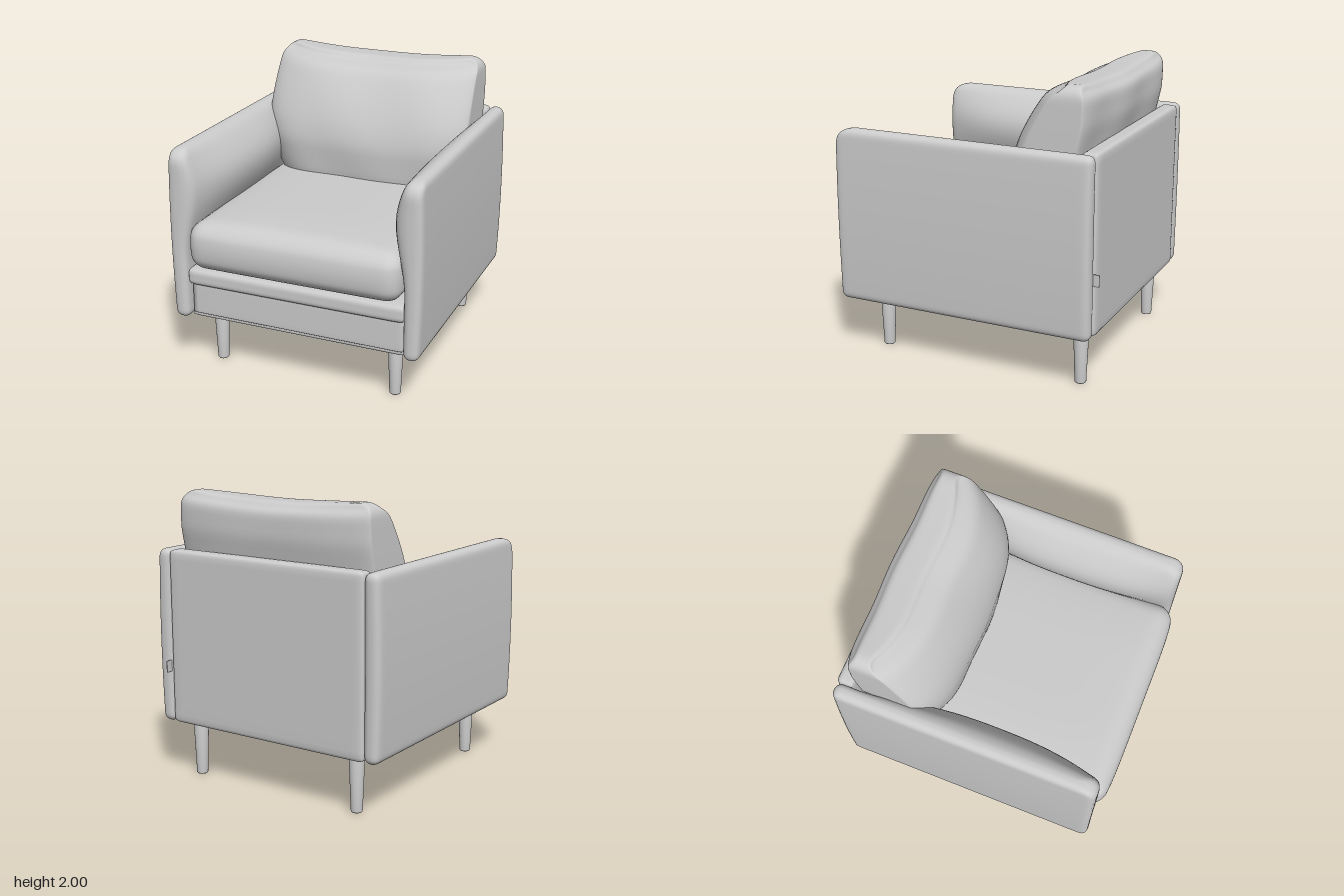
import * as THREE from 'three';
import { mergeVertices } from 'three/addons/utils/BufferGeometryUtils.js';

const { clamp, lerp } = THREE.MathUtils;
const material = new THREE.MeshStandardMaterial({ color: 0xcccccc, roughness: 0.9 });

// Rounded block between two corners, with vertices dense at its edges; bend(p) reshapes it.
function softBlock(name, min, max, r, n, bend) {
  const lo = new THREE.Vector3(...min), hi = new THREE.Vector3(...max);
  const half = hi.clone().sub(lo).multiplyScalar(0.5);
  const centre = hi.clone().add(lo).multiplyScalar(0.5);
  let geo = new THREE.BoxGeometry(2, 2, 2, n, n, n);
  const pos = geo.attributes.position;
  const p = new THREE.Vector3(), core = new THREE.Vector3();
  for (let i = 0; i < pos.count; i++) {
    p.fromBufferAttribute(pos, i);
    for (const a of ['x', 'y', 'z']) {
      p[a] = Math.sin(p[a] * Math.PI / 2) * half[a];
      core[a] = clamp(p[a], r - half[a], half[a] - r);
    }
    p.sub(core).setLength(r).add(core).add(centre);
    if (bend) bend(p);
    pos.setXYZ(i, p.x, p.y, p.z);
  }
  geo.deleteAttribute('normal');
  geo.deleteAttribute('uv');
  geo = mergeVertices(geo, 1e-5);
  geo.computeVertexNormals();
  const mesh = new THREE.Mesh(geo, material);
  mesh.name = name;
  return mesh;
}

// Side panel with a padded inner face and a rounded top front corner
function arm(side) {
  const ends = [side * 0.78, side * 0.89];
  return softBlock(side > 0 ? 'leftArm' : 'rightArm',
    [Math.min(...ends), 0.385, -0.935], [Math.max(...ends), 1.605, 0.92], 0.05, 36, p => {
      const x = p.x * side;
      const inner = clamp((0.87 - x) / 0.09, 0, 1);
      const along = Math.max(0, 1 - Math.pow(Math.abs(p.z - 0.15) / 0.9, 2.5));
      const up = p.y > 1.32
        ? Math.sin(clamp((1.605 - p.y) / 0.285, 0, 1) * Math.PI / 2)
        : 0.5 + 0.5 * Math.cos(clamp((1.32 - p.y) / 0.5, 0, 1) * Math.PI);
      const crown = 0.014 * (1 - inner) * (1 - Math.pow((p.y - 1) / 0.61, 2));
      p.x = side * (x - 0.16 * inner * along * up + crown);
      const h = clamp((p.y - 1.495) / 0.11, 0, 1);
      if (p.z > 0) p.z *= (0.81 + 0.11 * Math.sqrt(1 - h * h)) / 0.92;
    });
}

// Plump seat pad, crowned on top and bulging at the front
function seatCushion() {
  return softBlock('seatCushion', [-0.745, 0.765, -0.72], [0.745, 1.12, 0.93], 0.1, 32, p => {
    const u = p.x / 0.745, v = (p.y - 0.94) / 0.18, w = (p.z - 0.1) / 0.83;
    const side = 1 - u ** 4, belly = 1 - v * v;
    p.x *= 1 + 0.025 * belly;
    if (w > 0) p.z += 0.045 * w * belly * (1 - 0.6 * u ** 6);
    if (v > 0) p.y += v * (0.025 * side * (1 - Math.abs(w) ** 5) - 0.015 * Math.abs(u) ** 3);
  });
}

// Leaning back pad: thin at the top and sides, with a slight dip in its top edge
function backCushion() {
  return softBlock('backCushion', [-0.76, 1.08, -1], [0.76, 2.01, 1], 0.1, 32, p => {
    const u = p.x / 0.76, t = clamp((p.y - 1.08) / 0.93, 0, 1);
    const lean = Math.pow(Math.max(0, (p.y - 1.35) / 0.65), 1.6);
    // round the long top edges, which the depth remap stretches
    const cap = Math.pow(clamp((p.y - 1.88) / 0.13, 0, 1), 2);
    const front = -0.2 - 0.3 * lean - 0.14 * u ** 4 - 0.06 * cap - 0.04 * (1 - t) ** 3;
    const back = lerp(-0.74, -0.865, Math.min(1, t * 1.4)) + 0.04 * u ** 4 + 0.04 * cap;
    const w = p.z;
    p.z = lerp(back, front, (w + 1) / 2);
    p.y -= t ** 3 * (0.035 * (1 - u * u) + 0.05 * Math.abs(w) ** 6 * cap);
    p.x *= lerp(0.88, 1, Math.min(1, t * 2)) + 0.012 * Math.sin(t * Math.PI);
    p.z += 0.006 * Math.sin(7 * u + 5 * t);
  });
}

// Round tapered leg with a small bevel at the foot
function leg(x, z) {
  const profile = [[0, 0], [0.034, 0], [0.039, 0.007], [0.055, 0.43], [0, 0.43]]
    .map(([r, y]) => new THREE.Vector2(r, y));
  const geo = new THREE.LatheGeometry(profile, 28);
  const mesh = new THREE.Mesh(geo, material);
  mesh.name = (z > 0 ? 'front' : 'rear') + (x > 0 ? 'Left' : 'Right') + 'Leg';
  mesh.position.set(x, 0, z);
  return mesh;
}

export function createModel() {
  const model = new THREE.Group();
  model.name = 'armchair';

  // Frame
  model.add(
    softBlock('baseFrame', [-0.77, 0.415, -0.85], [0.77, 0.65, 0.865], 0.012, 10),
    softBlock('seatRail', [-0.79, 0.635, -0.85], [0.79, 0.76, 0.9], 0.04, 16),
    softBlock('frontBottomLip', [-0.785, 0.385, 0.79], [0.785, 0.425, 0.85], 0.018, 10),
    softBlock('backPanel', [-0.785, 0.39, -0.94], [0.785, 1.605, -0.82], 0.035, 20),
  );

  // Upholstery
  model.add(arm(1), arm(-1), seatCushion(), backCushion());

  // Legs
  for (const x of [-0.655, 0.655]) for (const z of [0.675, -0.795]) model.add(leg(x, z));

  // Small fabric tab in the rear seam
  const tab = new THREE.Mesh(new THREE.BoxGeometry(0.006, 0.08, 0.08), material);
  tab.name = 'seamTab';
  tab.position.set(0.8, 0.79, -0.93);
  model.add(tab);

  return model;
}
